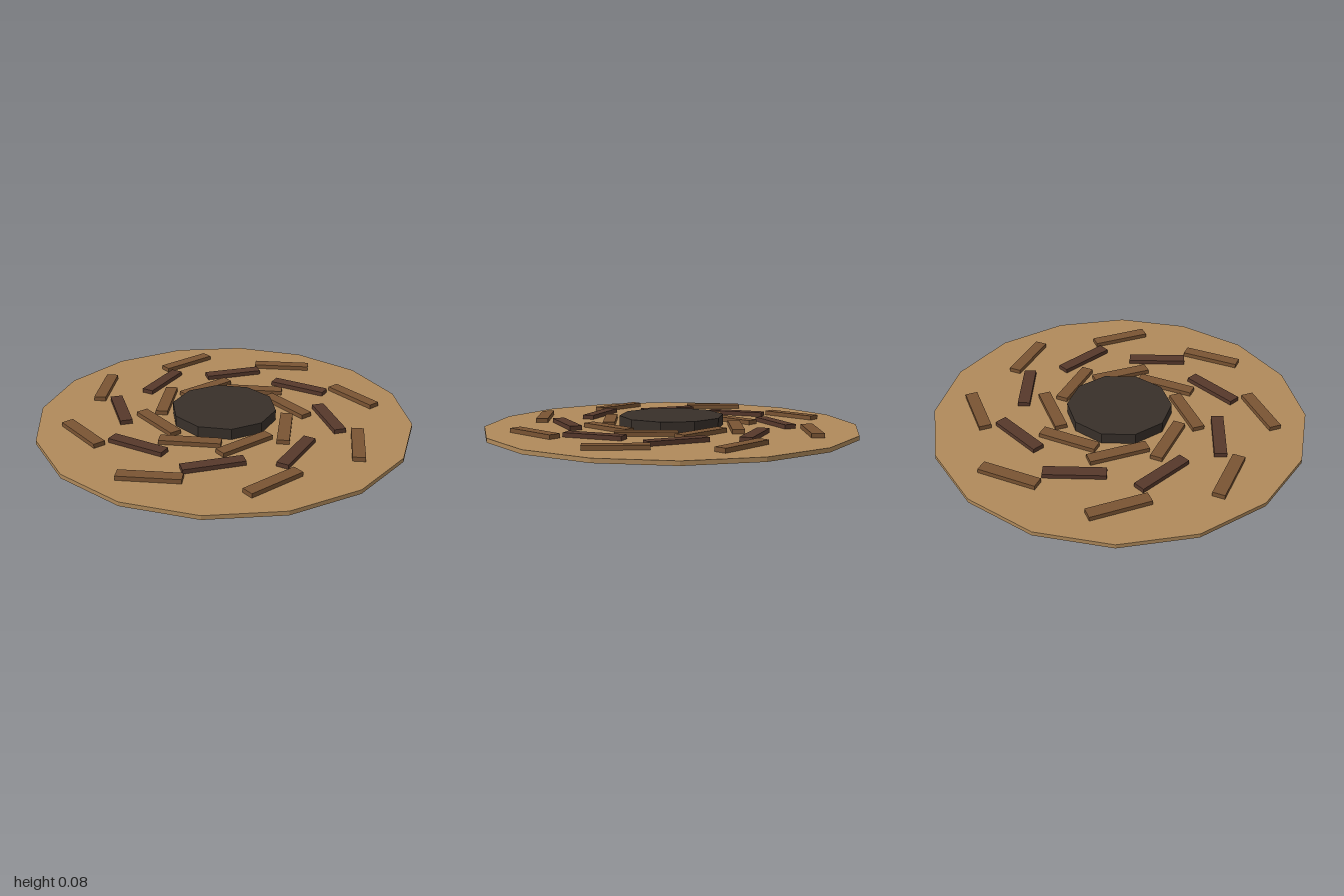
import * as THREE from 'three';

function material(name, color) {
  const m = new THREE.MeshStandardMaterial({ color });
  m.name = name;
  return m;
}

export function createModel() {
  const sand = material('sand', 0xb08a5b);
  const brown = material('brown', 0x7a5433);
  const darkBrown = material('dark brown', 0x56382b);
  const charcoal = material('charcoal', 0x38302a);

  const model = new THREE.Group();
  model.name = 'spiralDisc';

  // Upright faceted disc standing on the given base height
  const addDisc = (name, radius, sides, bottom, top, mat) => {
    const geo = new THREE.CylinderGeometry(radius, radius, top - bottom, sides).toNonIndexed();
    geo.computeVertexNormals();
    const mesh = new THREE.Mesh(geo, mat);
    mesh.name = name;
    mesh.position.y = (bottom + top) / 2;
    model.add(mesh);
  };

  addDisc('base', 1, 16, 0, 0.022, sand);
  addDisc('hub', 0.28, 10, 0.003, 0.08, charcoal);

  // Three rings of eight slanted bars, each ring turned further than the last
  const barGeo = new THREE.BoxGeometry(0.318, 0.03, 0.065);
  const rings = [
    { name: 'innerBars', radius: 0.36, mat: brown },
    { name: 'middleBars', radius: 0.56, mat: darkBrown },
    { name: 'outerBars', radius: 0.76, mat: brown },
  ];
  rings.forEach(({ name, radius, mat }, ring) => {
    const group = new THREE.Group();
    group.name = name;
    for (let i = 0; i < 8; i++) {
      const a = (i / 8) * Math.PI * 2 + ring * 0.4;
      const bar = new THREE.Mesh(barGeo, mat);
      bar.name = 'bar';
      bar.position.set(Math.cos(a) * radius, 0.03, -Math.sin(a) * radius);
      bar.rotation.y = a - 1.2;
      group.add(bar);
    }
    model.add(group);
  });

  return model;
}
